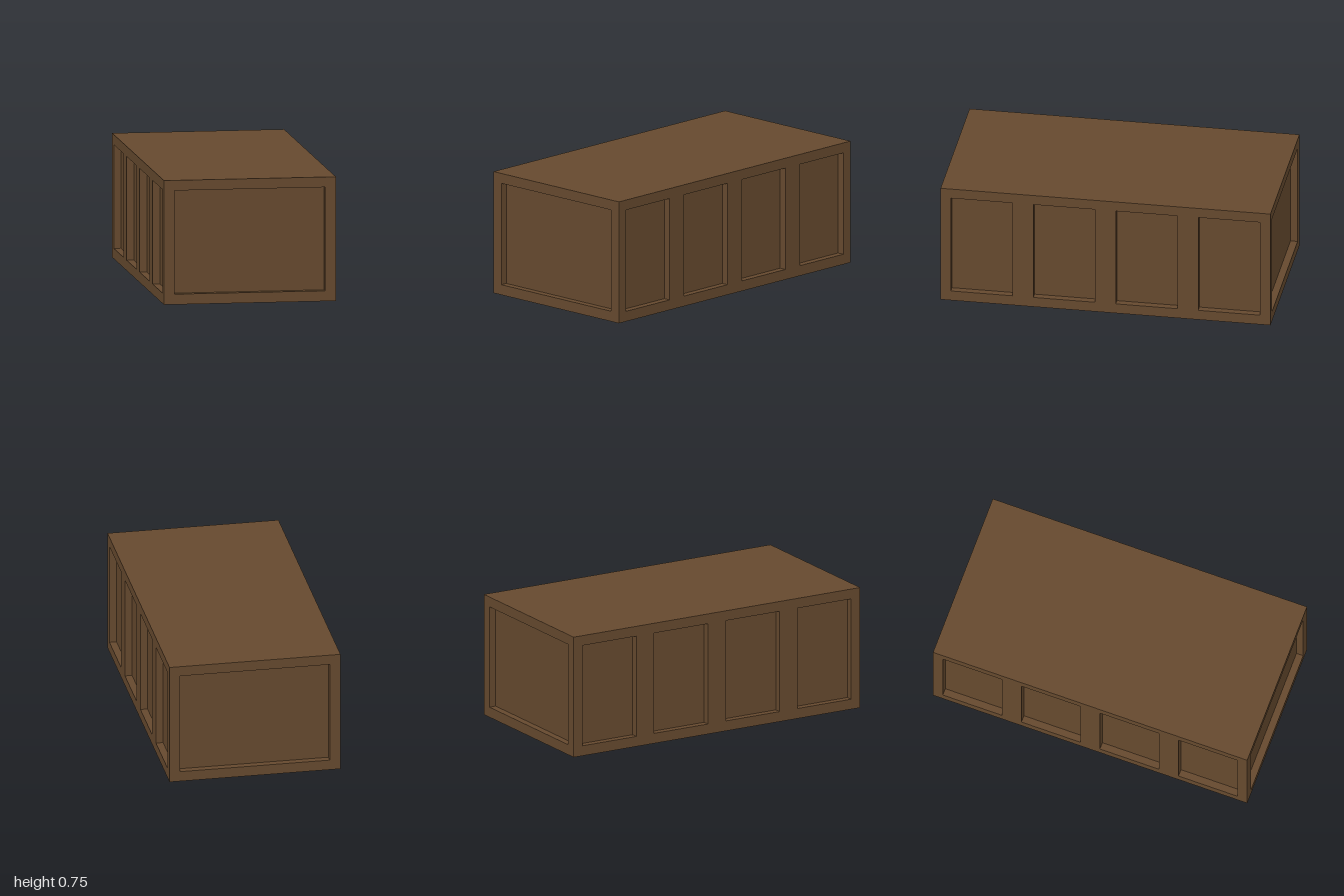
import * as THREE from 'three';

const W = 1.04, H = 0.75, L = 2, DEPTH = 0.043;
const LOW = 0.0625, HIGH = 0.6885; // recess bottom and top

const wood = new THREE.MeshStandardMaterial({ color: 0x65492e });
wood.name = 'brown wood';

// Upright frame of given width, with one opening per [centre, half width] pair
function frame(name, width, openings) {
  const rect = (Type, x0, x1, y0, y1) => new Type([
    new THREE.Vector2(x0, y0), new THREE.Vector2(x1, y0),
    new THREE.Vector2(x1, y1), new THREE.Vector2(x0, y1),
  ]);
  const shape = rect(THREE.Shape, -width / 2, width / 2, 0, H);
  for (const [c, half] of openings) shape.holes.push(rect(THREE.Path, c - half, c + half, LOW, HIGH));
  const geometry = new THREE.ExtrudeGeometry(shape, { depth: DEPTH, bevelEnabled: false });
  const mesh = new THREE.Mesh(geometry, wood);
  mesh.name = name;
  return mesh;
}

export function createModel() {
  const model = new THREE.Group();
  model.name = 'panelledBlock';

  // Solid core, whose faces form the recessed panels
  const core = new THREE.Mesh(new THREE.BoxGeometry(W - 2 * DEPTH, H, L - 2 * DEPTH), wood);
  core.name = 'core';
  core.position.y = H / 2;
  model.add(core);

  // End frames: one wide opening each
  for (const [name, side] of [['frontFrame', 1], ['backFrame', -1]]) {
    const end = frame(name, W, [[0, 0.455]]);
    end.rotation.y = side > 0 ? 0 : Math.PI;
    end.position.z = side * (L / 2 - DEPTH);
    model.add(end);
  }

  // Side frames: four openings each
  const bays = [-0.75, -0.25, 0.25, 0.75].map((c) => [c, 0.1875]);
  for (const [name, side] of [['leftFrame', 1], ['rightFrame', -1]]) {
    const flank = frame(name, L - 2 * DEPTH, bays);
    flank.rotation.y = side * Math.PI / 2;
    flank.position.x = side * (W / 2 - DEPTH);
    model.add(flank);
  }
  return model;
}
